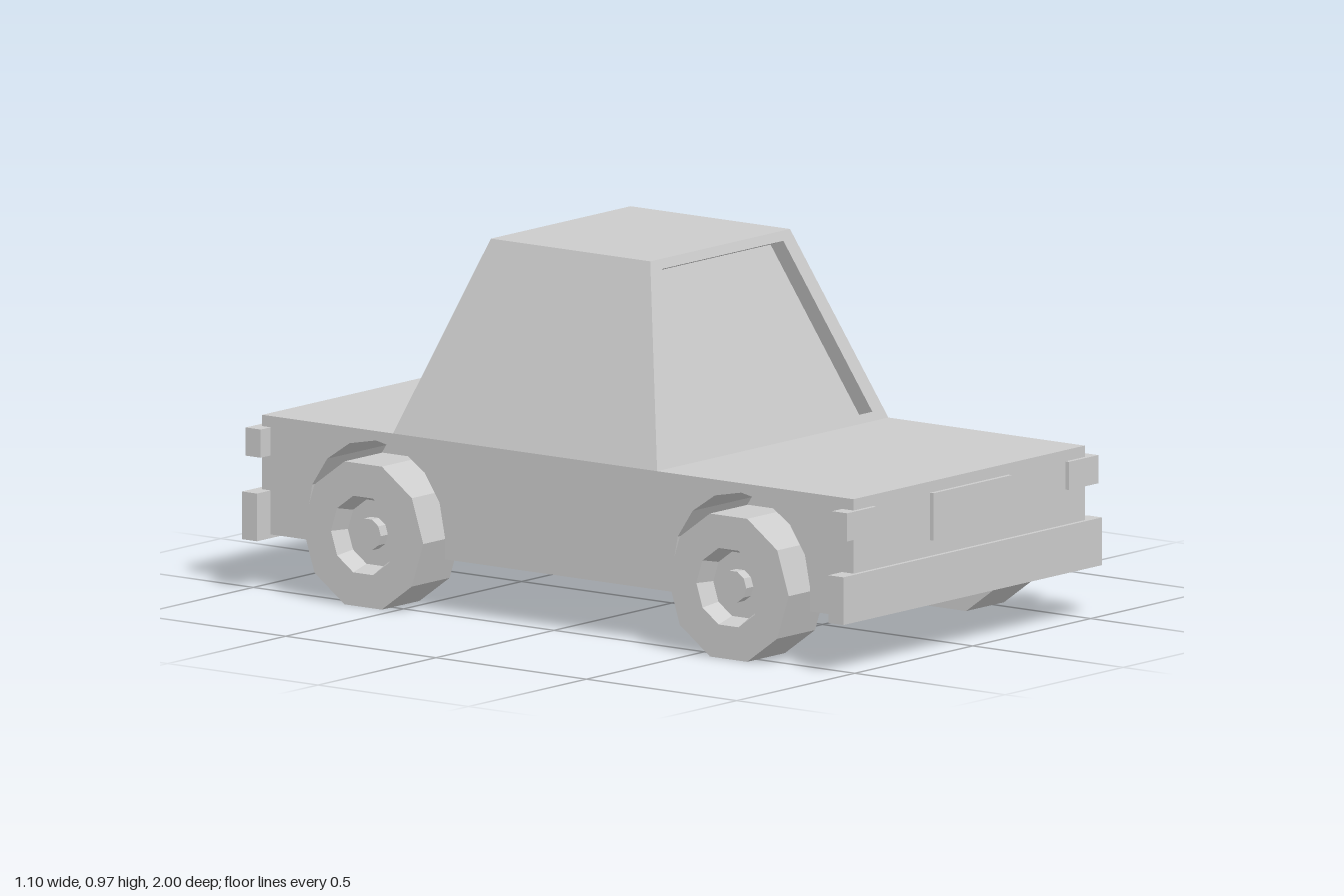
import * as THREE from 'three';

const paint = new THREE.MeshStandardMaterial({ color: 0xcccccc });
paint.name = 'light grey';

const BODY = { w: 0.49, bottom: 0.145, top: 0.46, front: 0.988, back: -0.978 };
const WELL_X = 0.24;            // inner wall of the wheel wells
const AXLES = [0.615, -0.6];    // front and rear axle z
const AXLE_Y = 0.19;

function add(parent, name, geometry) {
  const flat = geometry.index ? geometry.toNonIndexed() : geometry;
  flat.computeVertexNormals();
  const mesh = new THREE.Mesh(flat, paint);
  mesh.name = name;
  parent.add(mesh);
  return mesh;
}

// Box given by its minimum and maximum on each axis
function box(parent, name, [x0, x1], [y0, y1], [z0, z1]) {
  const g = new THREE.BoxGeometry(x1 - x0, y1 - y0, z1 - z0);
  g.translate((x0 + x1) / 2, (y0 + y1) / 2, (z0 + z1) / 2);
  return add(parent, name, g);
}

// Side slab of the body with two polygonal wheel arches cut from its lower edge
function bodySide() {
  const s = new THREE.Shape();
  s.moveTo(BODY.front, BODY.bottom);
  s.lineTo(BODY.front, BODY.top);
  s.lineTo(BODY.back, BODY.top);
  s.lineTo(BODY.back, BODY.bottom);
  for (const z of [...AXLES].reverse()) {
    const r = 0.229;
    s.lineTo(z - r, BODY.bottom);
    for (let i = 8; i >= 0; i--) {
      const a = (i / 8) * Math.PI;
      s.lineTo(z + r * Math.cos(a), 0.206 + r * Math.sin(a));
    }
    s.lineTo(z + r, BODY.bottom);
  }
  const g = new THREE.ExtrudeGeometry(s, { depth: BODY.w - WELL_X, bevelEnabled: false });
  g.rotateY(-Math.PI / 2);
  return g;
}

// Quads with counter-clockwise corners
function quads(list) {
  const p = [];
  for (const [a, b, c, d] of list) p.push(...a, ...b, ...c, ...a, ...c, ...d);
  const g = new THREE.BufferGeometry();
  g.setAttribute('position', new THREE.Float32BufferAttribute(p, 3));
  return g;
}

// Four corners of a trapezoid, seen from outside; dir is +1 for front, -1 for back
function trapezoid(dir, [xb, yb, zb], [xt, yt, zt]) {
  return [[-dir * xb, yb, zb], [dir * xb, yb, zb], [dir * xt, yt, zt], [-dir * xt, yt, zt]];
}

// Strip of quads between two four-cornered loops
function ring(outer, inner) {
  return outer.map((p, i) => {
    const j = (i + 1) % 4;
    return [p, outer[j], inner[j], inner[i]];
  });
}

// Sloped cabin wall with a window sunk along its normal
function windowWall(parent, name, dir, base, roof, low, high, depth) {
  const slope = (roof[2] - base[2]) / (roof[1] - base[1]);
  const zAt = (y) => base[2] + (y - base[1]) * slope;
  const wall = trapezoid(dir, base, roof);
  const edge = trapezoid(dir, [low[0], low[1], zAt(low[1])], [high[0], high[1], zAt(high[1])]);
  const n = new THREE.Vector3(0, -slope * dir, dir).normalize();
  const glass = edge.map(([x, y, z]) => [x, y - n.y * depth, z - n.z * depth]);
  add(parent, name + 'Frame', quads([...ring(wall, edge), ...ring(edge, glass)]));
  add(parent, name, quads([glass]));
}

// Ten-sided wheel facing +x with a funnel rim and a raised hub
function wheelGeometry() {
  const h = 0.08;
  const profile = [
    [0, -h], [0.2, -h], [0.2, h], [0.107, h],
    [0.09, h - 0.05], [0.043, h - 0.05], [0.043, h - 0.02], [0, h - 0.02],
  ].map(([r, y]) => new THREE.Vector2(r, y));
  return new THREE.LatheGeometry(profile, 10).rotateZ(-Math.PI / 2);
}

export function createModel() {
  const car = new THREE.Group();
  car.name = 'car';

  // Body: centre block and two sides with arches
  const body = new THREE.Group();
  body.name = 'body';
  car.add(body);
  box(body, 'bodyCentre', [-WELL_X, WELL_X], [BODY.bottom, BODY.top], [BODY.back, BODY.front]);
  add(body, 'leftBodySide', bodySide()).position.x = BODY.w;
  add(body, 'rightBodySide', bodySide()).position.x = -WELL_X;

  // Cabin
  const cabin = new THREE.Group();
  cabin.name = 'cabin';
  car.add(cabin);
  const fb = [0.49, 0.46, 0.335], ft = [0.296, 0.97, 0.16];
  const bb = [0.49, 0.46, -0.543], bt = [0.296, 0.97, -0.37];
  windowWall(cabin, 'windscreen', 1, fb, ft, [0.432, 0.483], [0.257, 0.945], 0.045);
  windowWall(cabin, 'rearWindow', -1, bb, bt, [0.37, 0.488], [0.212, 0.92], 0.027);
  const F = trapezoid(1, fb, ft), B = trapezoid(-1, bb, bt);
  add(cabin, 'roof', quads([[F[3], F[2], B[3], B[2]]]));
  add(cabin, 'leftCabinSide', quads([[F[1], B[0], B[3], F[2]]]));
  add(cabin, 'rightCabinSide', quads([[B[1], F[0], F[3], B[2]]]));

  // Bumpers, plates and lamps at both ends
  for (const [end, z] of [['front', [0.95, 1]], ['rear', [-1, -0.95]]]) {
    box(car, end + 'Bumper', [-0.548, 0.548], [0.135, 0.262], z);
    box(car, end + 'Plate', [-0.166, 0.166], [0.304, 0.43], z);
    box(car, end + 'LeftLamp', [0.408, 0.532], [0.355, 0.43], z);
    box(car, end + 'RightLamp', [-0.532, -0.408], [0.355, 0.43], z);
  }

  // Wheels
  AXLES.forEach((z, i) => {
    for (const side of [1, -1]) {
      const name = (i ? 'rear' : 'front') + (side > 0 ? 'Left' : 'Right') + 'Wheel';
      const wheel = add(car, name, wheelGeometry());
      wheel.position.set(side * 0.464, AXLE_Y, z);
      if (side < 0) wheel.rotation.y = Math.PI;
    }
  });

  return car;
}
